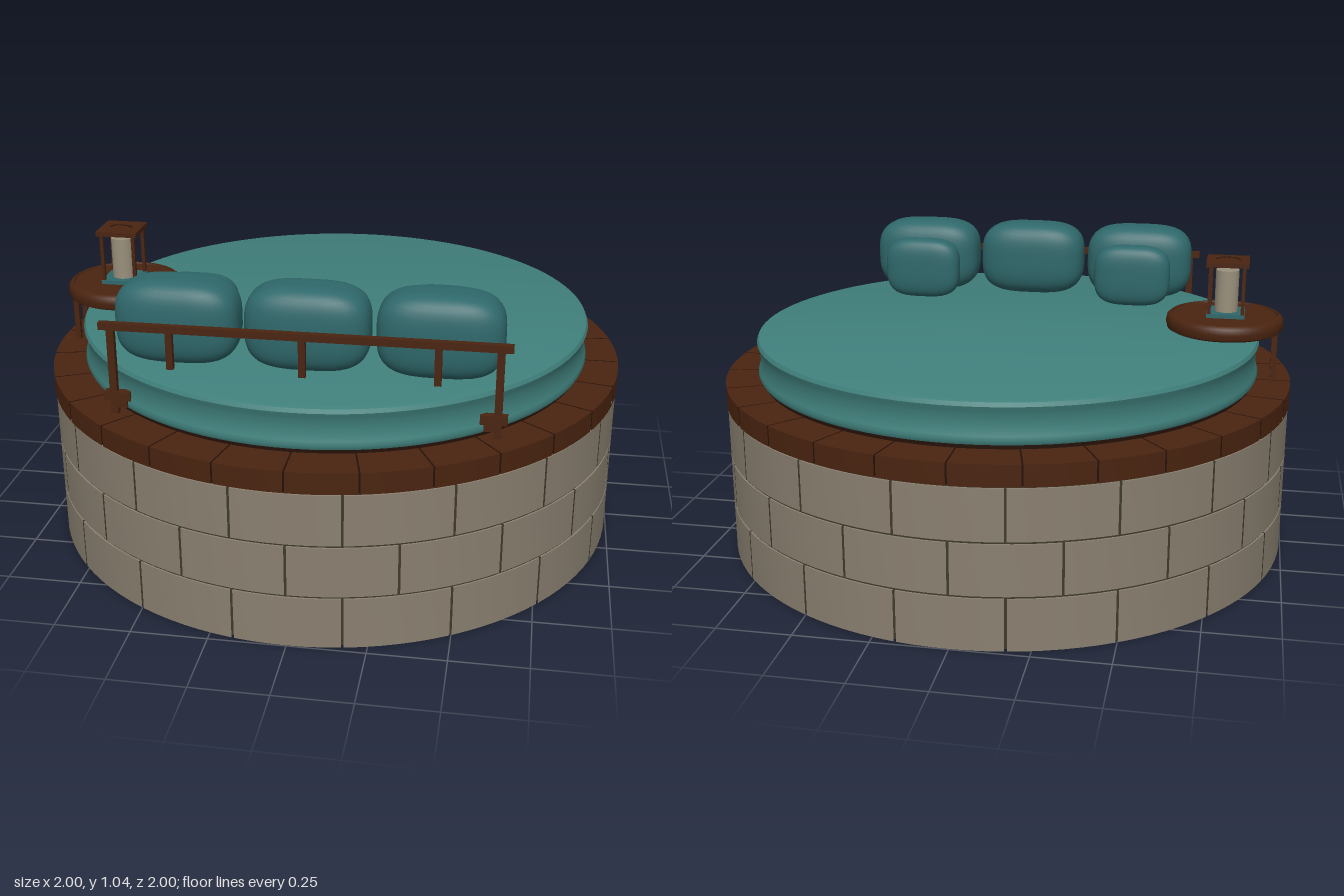
import * as THREE from 'three';
import { toCreasedNormals } from 'three/addons/utils/BufferGeometryUtils.js';

const material = (name, color, side = THREE.FrontSide) => {
  const m = new THREE.MeshStandardMaterial({ color, side });
  m.name = name;
  return m;
};

export function createModel() {
  const stone = material('stone', 0x8a8070);
  const mortar = material('mortar', 0x3f3a2c);
  const wood = material('wood', 0x4a2410);
  const darkWood = material('dark wood', 0x241008);
  const teal = material('teal cloth', 0x40807c);
  const pillowCloth = material('pillow cloth', 0x2f686b);
  const paper = material('lamp paper', 0x9a907c);

  const model = new THREE.Group();
  model.name = 'roundBed';

  const add = (parent, name, geometry, mat, x = 0, y = 0, z = 0) => {
    const mesh = new THREE.Mesh(geometry, mat);
    mesh.name = name;
    mesh.position.set(x, y, z);
    parent.add(mesh);
    return mesh;
  };
  const group = (name, x = 0, y = 0, z = 0) => {
    const g = new THREE.Group();
    g.name = name;
    g.position.set(x, y, z);
    model.add(g);
    return g;
  };
  const box = (parent, name, w, h, d, mat, x, y, z) =>
    add(parent, name, new THREE.BoxGeometry(w, h, d), mat, x, y, z);
  const lathe = (points, segments = 96, start = 0, length = Math.PI * 2) =>
    toCreasedNormals(new THREE.LatheGeometry(
      points.map(([r, y]) => new THREE.Vector2(r, y)), segments, start, length), 0.7);

  // Stone drum: three courses of curved blocks over a mortar core
  const drum = group('stoneBase');
  add(drum, 'mortarCore', new THREE.CylinderGeometry(0.991, 0.991, 0.53, 96), mortar, 0, 0.27, 0);
  const bottom = add(drum, 'underside', new THREE.CircleGeometry(0.996, 96), stone);
  bottom.rotation.x = Math.PI / 2;
  const blocks = 18, course = 0.178, joint = 0.008, step = Math.PI * 2 / blocks;
  for (let row = 0; row < 3; row++) {
    for (let i = 0; i < blocks; i++) {
      const start = (i + (row % 2 ? 0 : 0.5)) * step + joint / 2;
      const y0 = row * course + (row ? joint / 2 : 0);
      const y1 = (row + 1) * course - joint / 2;
      add(drum, 'stoneBlock', lathe(
        [[0.985, y0], [0.997, y0], [0.997, y1], [0.985, y1]], 6, start, step - joint), stone);
    }
  }

  // Wooden rim made of 28 curved planks
  const rim = group('woodenRim');
  add(rim, 'rimCore', lathe([[0, 0.536], [0.995, 0.536], [0.995, 0.601], [0, 0.601]]), darkWood);
  const planks = 28, plankStep = Math.PI * 2 / planks, gap = 0.006;
  for (let i = 0; i < planks; i++) {
    add(rim, 'rimPlank', lathe(
      [[0.84, 0.535], [1, 0.535], [1, 0.606], [0.84, 0.606]], 4,
      i * plankStep + gap / 2, plankStep - gap), wood);
  }
  add(rim, 'mattressSupport', lathe([[0, 0.6], [0.87, 0.6], [0.87, 0.63], [0, 0.63]]), darkWood);

  // Mattress with piped upper and lower edges
  add(model, 'mattress', lathe([
    [0, 0.617], [0.865, 0.617], [0.88, 0.622], [0.886, 0.635], [0.882, 0.65], [0.877, 0.665],
    [0.876, 0.69], [0.877, 0.715], [0.882, 0.73], [0.886, 0.743], [0.88, 0.756], [0.865, 0.761], [0, 0.762],
  ]), teal);

  // Plump cushions: spheres pushed out towards a rounded box
  const cushion = (name, w, h, d, x, y, z) => {
    const g = new THREE.SphereGeometry(1, 48, 32);
    const pos = g.attributes.position, v = new THREE.Vector3(), p = 3.3;
    for (let i = 0; i < pos.count; i++) {
      v.fromBufferAttribute(pos, i);
      const n = (Math.abs(v.x) ** p + Math.abs(v.y) ** p + Math.abs(v.z) ** p) ** (1 / p);
      v.divideScalar(n);
      pos.setXYZ(i, v.x * w / 2, v.y * h / 2, v.z * d / 2);
    }
    g.computeVertexNormals();
    add(model, name, g, pillowCloth, x, y, z);
  };
  for (const x of [-0.418, 0, 0.418]) cushion('largePillow', 0.4, 0.275, 0.215, x, 0.898, 0.557);
  for (const x of [-0.405, 0.405]) cushion('smallPillow', 0.285, 0.226, 0.115, x, 0.874, 0.388);

  // Headboard rail with posts, stubs and foot brackets
  const rail = group('headRail', 0, 0, 0.677);
  box(rail, 'topRail', 1.29, 0.024, 0.022, wood, 0, 0.903, 0);
  for (const s of [-1, 1]) {
    box(rail, 'railPost', 0.024, 0.29, 0.02, wood, s * 0.608, 0.748, 0);
    box(rail, 'bracketUpper', 0.085, 0.03, 0.026, wood, s * 0.595, 0.668, 0);
    box(rail, 'bracketLower', 0.055, 0.025, 0.024, wood, s * 0.592, 0.642, 0);
  }
  for (const x of [-0.42, 0, 0.42]) box(rail, 'railStub', 0.022, 0.125, 0.018, wood, x, 0.832, 0);

  // Round side table on two legs at the rim
  const table = group('sideTable', -0.763, 0, 0.03);
  add(table, 'tableTop', lathe([
    [0, 0.776], [0.185, 0.776], [0.198, 0.783], [0.203, 0.803], [0.199, 0.823], [0.188, 0.832],
    [0.182, 0.832], [0.18, 0.827], [0, 0.827],
  ], 64), wood);
  for (const z of [-0.042, 0.045]) box(table, 'tableLeg', 0.018, 0.175, 0.018, wood, -0.175, 0.692, z);

  // Lantern: paper shade in a wooden frame
  const lantern = group('lantern', -0.766, 0.827, 0.03);
  box(lantern, 'lanternBase', 0.13, 0.014, 0.13, pillowCloth, 0, 0.008, 0);
  add(lantern, 'lanternShade', new THREE.CylinderGeometry(0.04, 0.04, 0.145, 32), paper, 0, 0.088, 0);
  box(lantern, 'lanternCap', 0.145, 0.016, 0.145, wood, 0, 0.188, 0);
  for (const x of [-1, 1]) for (const z of [-1, 1])
    box(lantern, 'lanternPost', 0.012, 0.18, 0.012, wood, x * 0.057, 0.095, z * 0.057);
  const handle = add(lantern, 'lanternHandle',
    new THREE.TorusGeometry(0.04, 0.004, 8, 20, Math.PI), darkWood, 0, 0.194, 0);
  handle.scale.y = 0.25;

  return model;
}
